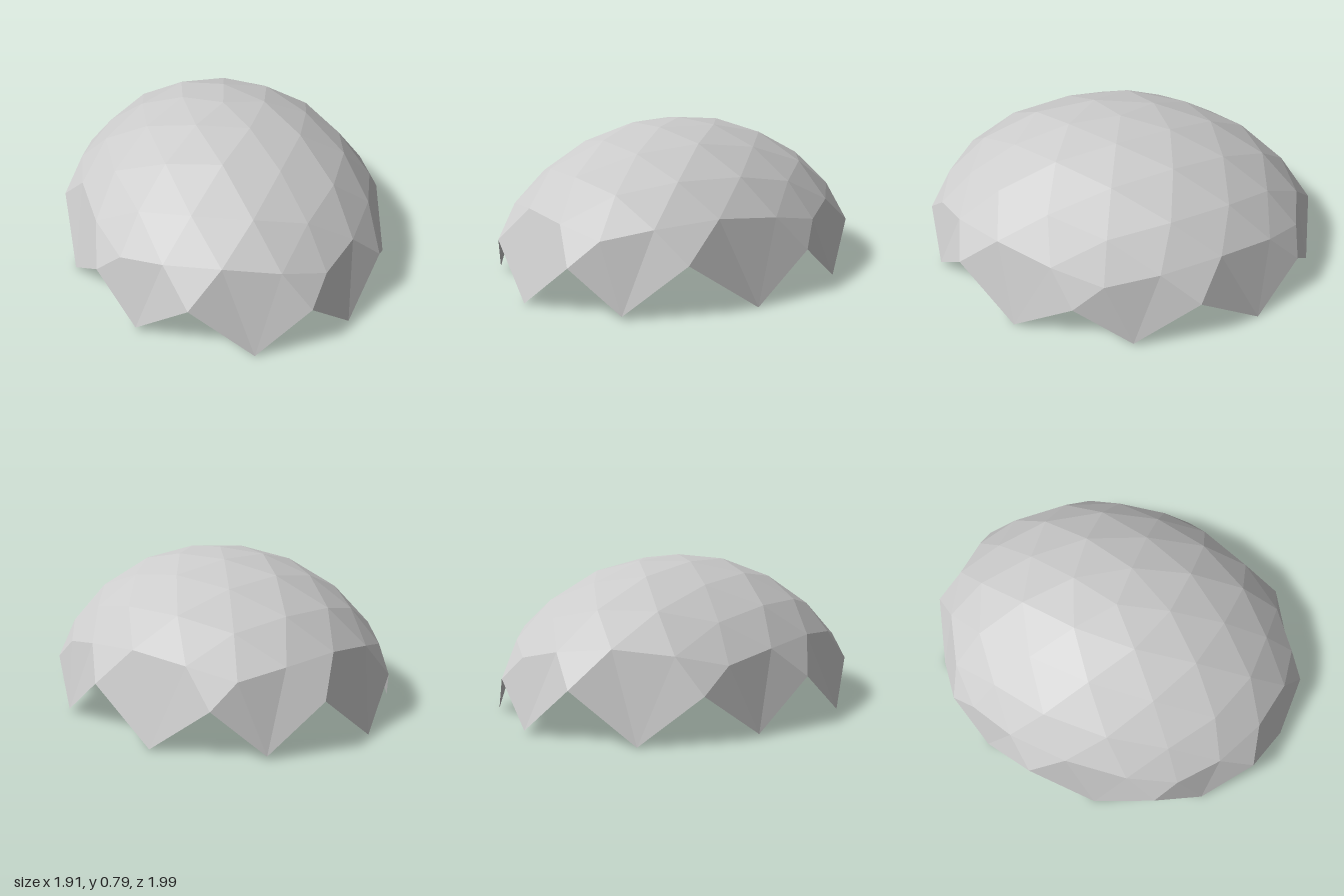
import * as THREE from 'three';

// Faceted five-fold dome: ring k holds 5k vertices, then a zigzag rim of 20.
// Each entry is [radius, height, bearing shift]; entries repeat around the ring.
const RINGS = [
  [[0, 0.788, 0]],
  [[0.26, 0.763, 0]],
  [[0.535, 0.664, 0], [0.468, 0.702, 0]],
  [[0.77, 0.508, 0], [0.718, 0.562, -1], [0.718, 0.562, 1]],
  [[0.933, 0.332, 0], [0.9, 0.382, -2], [0.88, 0.41, 0], [0.9, 0.382, 2]],
];
const RIM = [[1, 0.014, -1], [1, 0.238, -1], [1, 0, 1], [1, 0.216, 1]];
const START = 243; // bearing of the first spoke, in degrees

// Places a point on the slanted oval plan
function place([r, y, shift], degrees) {
  const a = THREE.MathUtils.degToRad(degrees + shift);
  const c = Math.cos(a), s = Math.sin(a);
  return [r * (0.957 * c - 0.026 * s), y, -r * (0.215 * c + 0.977 * s)];
}

function makeRing(pattern, count, offset) {
  return Array.from({ length: count }, (_, i) =>
    place(pattern[i % pattern.length], START + offset + (360 / count) * i));
}

export function createModel() {
  const rings = RINGS.map((pattern, k) => makeRing(pattern, Math.max(1, 5 * k), 0));
  const rim = makeRing(RIM, 20, 9);
  const positions = [];
  const at = (ring, i) => ring[i % ring.length];
  const tri = (a, b, c) => positions.push(...a, ...b, ...c);

  // Cap: five sectors, each row one triangle wider than the last
  for (let k = 0; k < 4; k++) {
    const inner = rings[k], outer = rings[k + 1];
    for (let s = 0; s < 5; s++) {
      for (let i = 0; i <= k; i++) {
        const a = s * k + i, b = s * (k + 1) + i;
        tri(at(inner, a), at(outer, b), at(outer, b + 1));
        if (i < k) tri(at(inner, a), at(outer, b + 1), at(inner, a + 1));
      }
    }
  }

  // Jagged skirt between the last full ring and the rim
  const top = rings[4];
  for (let j = 0; j < 20; j++) {
    tri(at(top, j), at(rim, j), at(top, j + 1));
    tri(at(top, j + 1), at(rim, j), at(rim, j + 1));
  }

  const geometry = new THREE.BufferGeometry();
  geometry.setAttribute('position', new THREE.Float32BufferAttribute(positions, 3));
  geometry.computeVertexNormals();

  const shell = new THREE.Mesh(geometry, new THREE.MeshStandardMaterial({
    color: 0xcccccc, flatShading: true, side: THREE.DoubleSide,
  }));
  shell.name = 'domeShell';

  const group = new THREE.Group();
  group.name = 'facetedDome';
  group.add(shell);
  return group;
}
